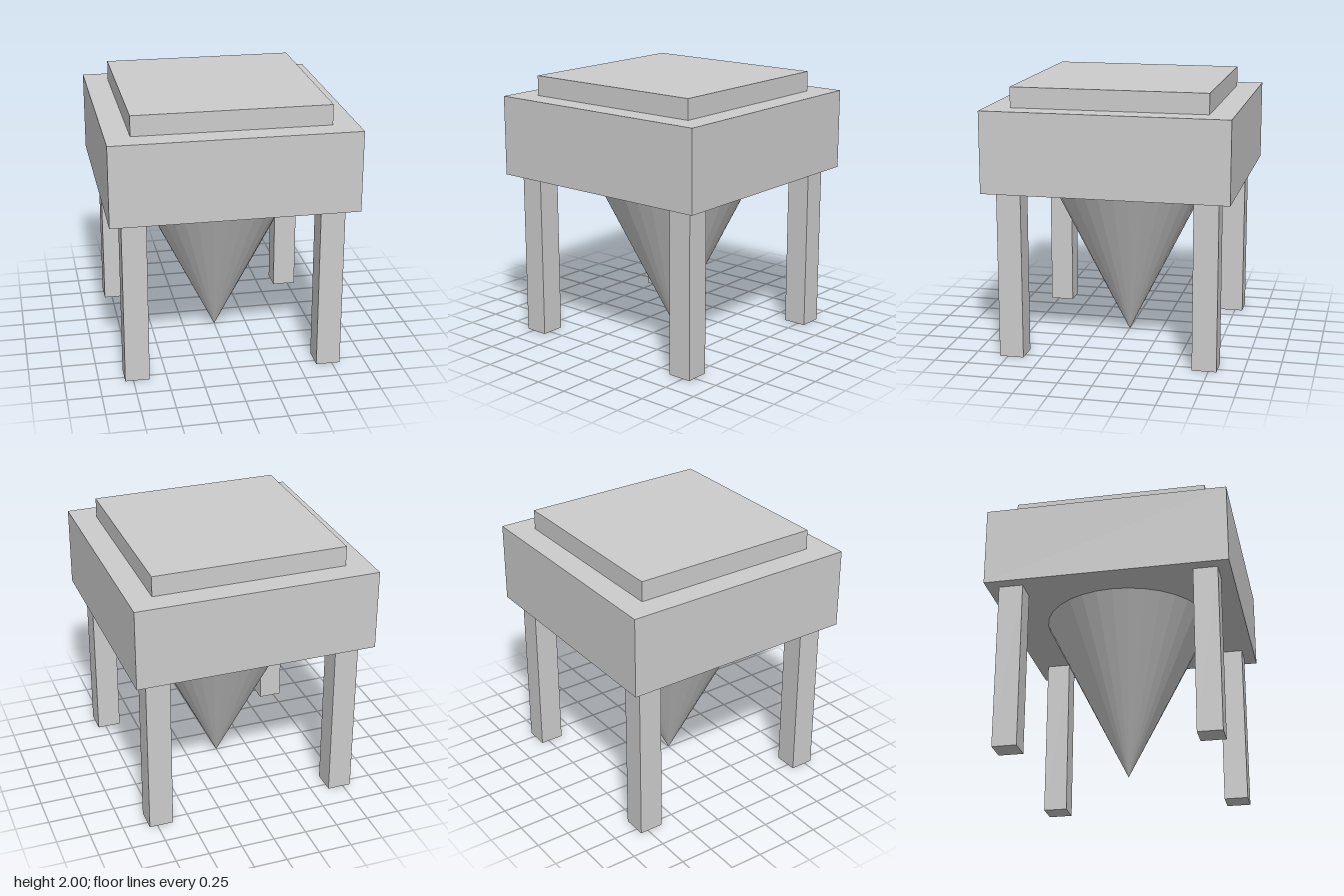
import * as THREE from 'three';

export function createModel() {
  const group = new THREE.Group();
  const material = new THREE.MeshStandardMaterial({ color: 0xcccccc, flatShading: true });

  const add = (name, geometry, x, y, z) => {
    const mesh = new THREE.Mesh(geometry, material);
    mesh.name = name;
    mesh.position.set(x, y, z);
    group.add(mesh);
  };

  // Main block and the raised slab on top
  add('body', new THREE.BoxGeometry(1.8, 0.6, 1.8), 0, 1.55, 0);
  add('topSlab', new THREE.BoxGeometry(1.44, 0.15, 1.44), 0, 1.925, 0);

  // Inverted cone hanging below the block, tip at ground level
  const cone = new THREE.ConeGeometry(0.625, 1.25, 32);
  cone.rotateX(Math.PI);
  add('hopperCone', cone, 0, 0.625, 0);

  // Four square legs
  const leg = new THREE.BoxGeometry(0.18, 1.25, 0.18);
  for (const [zName, z] of [['front', 0.72], ['back', -0.72]]) {
    for (const [xName, x] of [['Left', 0.72], ['Right', -0.72]]) {
      add(`${zName}${xName}Leg`, leg, x, 0.625, z);
    }
  }

  return group;
}
